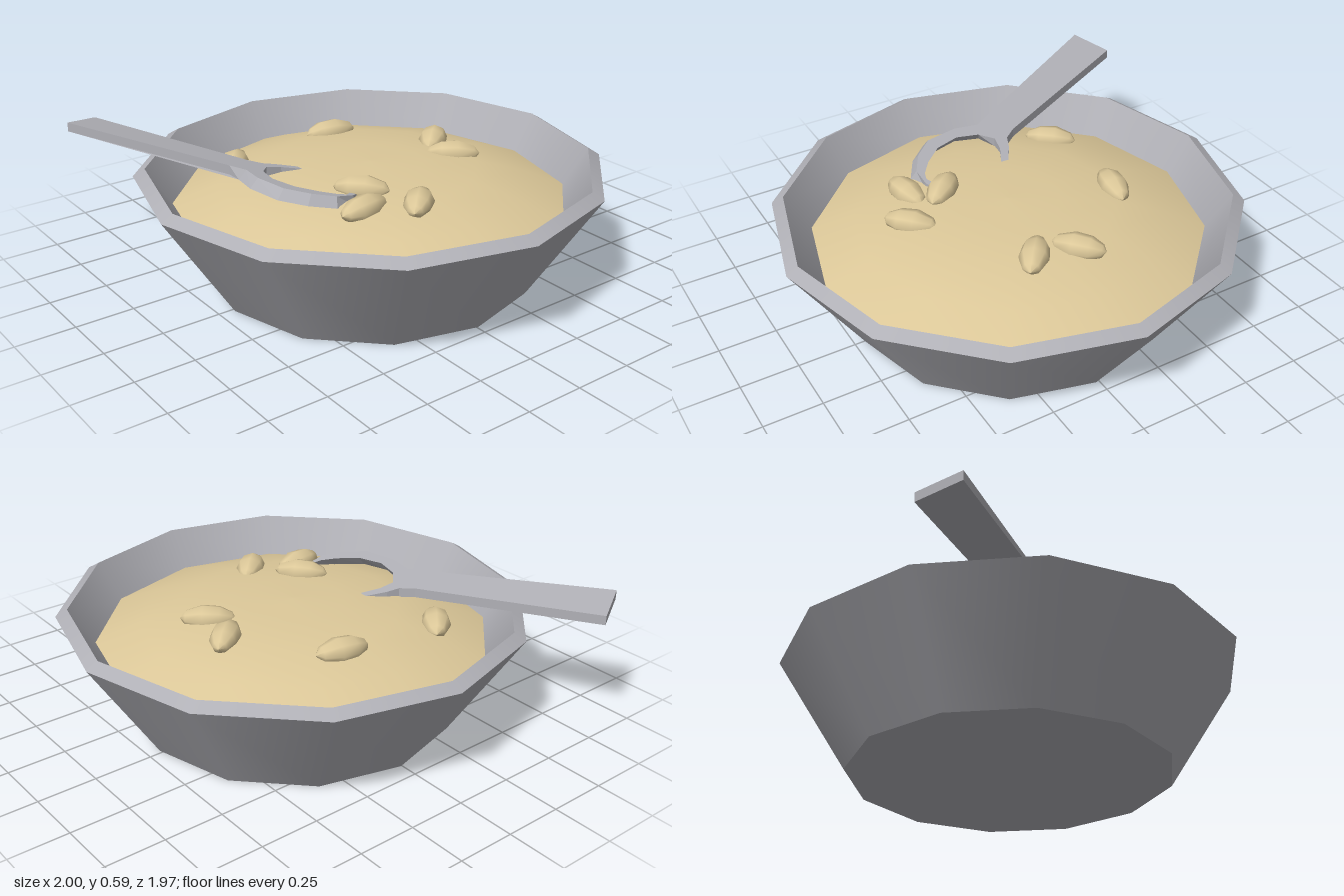
import * as THREE from 'three';
import { mergeGeometries } from 'three/addons/utils/BufferGeometryUtils.js';

const SIDES = 12;
const v2 = (p) => new THREE.Vector2(p[0], p[1]);

export function createModel() {
  const metal = new THREE.MeshStandardMaterial({ color: 0xb0b0b6 });
  metal.name = 'grey metal';
  const cream = new THREE.MeshStandardMaterial({ color: 0xdcc899 });
  cream.name = 'porridge tan';

  const group = new THREE.Group();
  group.name = 'bowlOfPorridge';
  const add = (name, geometry, material) => {
    const mesh = new THREE.Mesh(geometry, material);
    mesh.name = name;
    group.add(mesh);
    return mesh;
  };

  // Bowl: one ring per profile segment, smooth around and sharp between rings
  const profile = [[0, 0], [0.69, 0], [0.985, 0.465], [0.935, 0.495], [0.825, 0.325]].map(v2);
  const rings = [];
  for (let i = 0; i < profile.length - 1; i++) {
    rings.push(new THREE.LatheGeometry([profile[i], profile[i + 1]], SIDES));
  }
  add('bowl', mergeGeometries(rings), metal).position.set(0.015, 0, -0.005);

  // Gently domed filling
  const dome = [[0.832, 0.336], [0.65, 0.41], [0.45, 0.462], [0.22, 0.48], [0, 0.485]].map(v2);
  add('porridge', new THREE.LatheGeometry(dome, SIDES), cream).position.set(0.015, 0, -0.005);

  // Nuts: low-sided pointed ovals lying on the filling [x, y, z, dirX, dirZ]
  const oval = [[0, -0.118], [0.036, -0.095], [0.062, -0.025], [0.056, 0.045], [0.03, 0.095], [0, 0.112]].map(v2);
  const nutGeometry = new THREE.LatheGeometry(oval, 8);
  nutGeometry.rotateX(Math.PI / 2);
  nutGeometry.scale(1, 0.88, 1);
  const nuts = [
    [-0.07, 0.465, -0.415, -0.7, -0.8],
    [0.11, 0.465, -0.37, -0.65, 0.8],
    [-0.435, 0.46, -0.115, -0.2, 1],
    [0.43, 0.46, 0.08, 0.75, 0.8],
    [0.215, 0.48, 0.2, -0.8, 0.7],
    [0.345, 0.46, 0.285, 0.15, 1],
    [-0.435, 0.425, 0.39, 0.85, 0.75],
  ];
  nuts.forEach(([x, y, z, dx, dz], i) => {
    const nut = add('nut' + (i + 1), nutGeometry, cream);
    nut.position.set(x, y, z);
    nut.rotation.y = Math.atan2(dx, dz);
  });

  // Spoon: flat outline in x and z, its open head dipping into the filling
  const outline = [
    [-1.0, 0.76], [-0.915, 0.925], [-0.2, 0.553], [-0.13, 0.515], [-0.02, 0.53], [0.125, 0.505],
    [0.21, 0.435], [0.262, 0.35], [0.26, 0.27], [0.22, 0.19], [0.2, 0.22], [0.245, 0.29], [0.235, 0.325],
    [0.19, 0.38], [0.11, 0.445], [0, 0.475], [-0.1, 0.455], [-0.155, 0.405], [-0.145, 0.34],
    [-0.1, 0.25], [-0.13, 0.24], [-0.19, 0.34], [-0.21, 0.39], [-0.265, 0.43],
  ].map(v2);
  const spoon = new THREE.ExtrudeGeometry(new THREE.Shape(outline), { depth: 0.04, bevelEnabled: false });
  spoon.rotateX(Math.PI / 2);
  const pos = spoon.attributes.position;
  for (let i = 0; i < pos.count; i++) {
    let x = pos.getX(i), z = pos.getZ(i);
    const y = pos.getY(i);
    // tilt the slab so the handle rises over the rim
    const lift = 0.59 + 0.2 * (z - 0.925) + 0.02 * (x + 0.92);
    // flare the underside of the head outwards
    if (y < -0.02 && x > -0.14 && z > 0.3) {
      const d = Math.hypot(x - 0.05, z - 0.25);
      x += 0.025 * (x - 0.05) / d;
      z += 0.035 * (z - 0.25) / d;
    }
    pos.setXYZ(i, x, y + lift, z);
  }
  spoon.computeVertexNormals();
  add('spoon', spoon, metal);

  return group;
}
